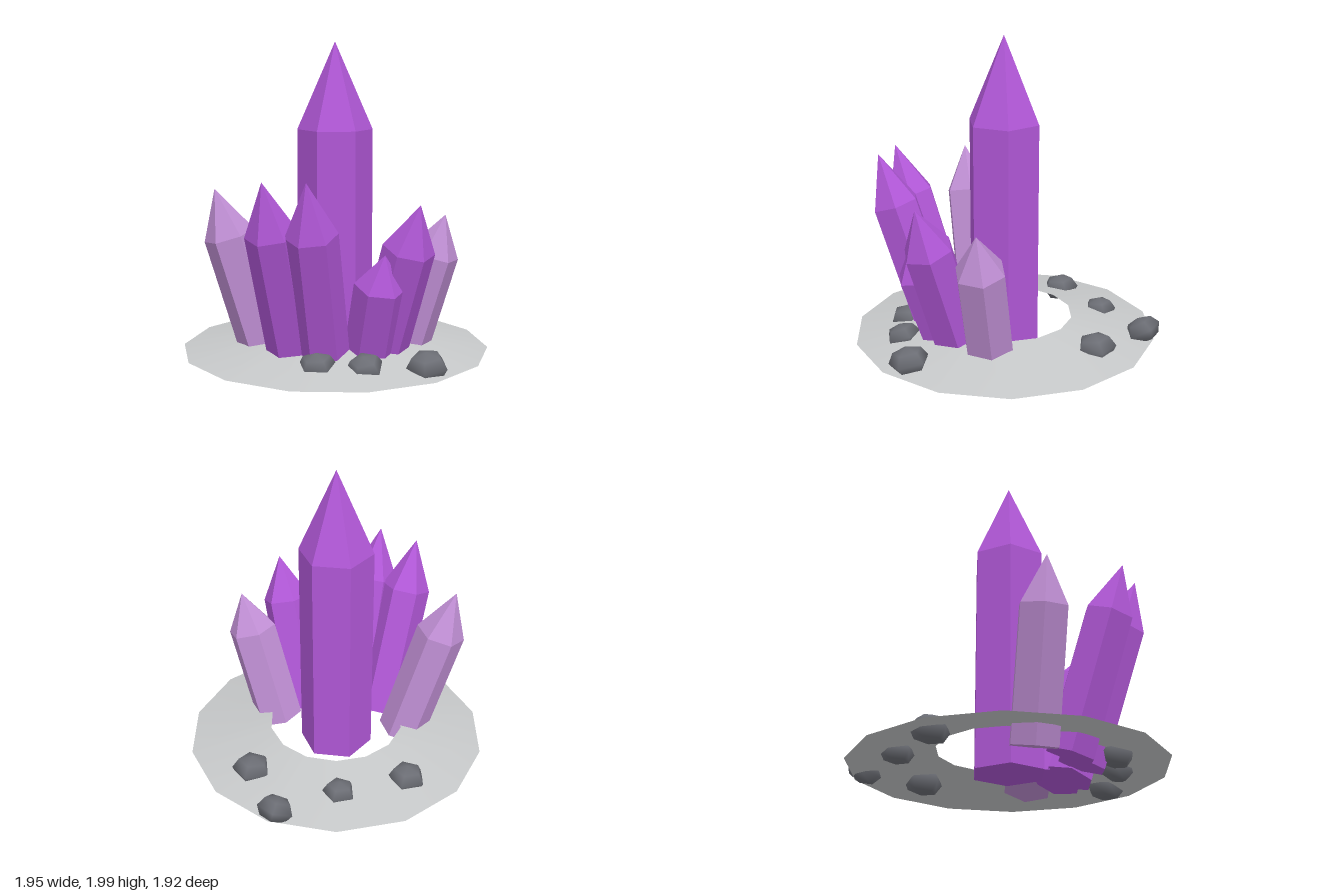
import * as THREE from 'three';

const purple = new THREE.MeshStandardMaterial({ name: 'purple crystal', color: 0xb057d6, flatShading: true });
const lilac = new THREE.MeshStandardMaterial({ name: 'lilac crystal', color: 0xc08fd4, flatShading: true });
const stoneGrey = new THREE.MeshStandardMaterial({ name: 'stone grey', color: 0x6c6e75 });
const paleGrey = new THREE.MeshStandardMaterial({ name: 'pale grey', color: 0xc6c8c9, side: THREE.DoubleSide });

const UP = new THREE.Vector3(0, 1, 0);

// Six-sided prism with a pointed tip, running from the centre of its base to its apex
function crystal(name, material, base, apex, radius) {
  const from = new THREE.Vector3(...base);
  const axis = new THREE.Vector3(...apex).sub(from);
  const length = axis.length();
  const profile = [[0, 0], [radius, 0], [radius, 0.726 * length], [0, length]];
  const geometry = new THREE.LatheGeometry(profile.map(p => new THREE.Vector2(...p)), 6);
  const mesh = new THREE.Mesh(geometry, material);
  mesh.name = name;
  mesh.position.copy(from);
  mesh.quaternion.setFromUnitVectors(UP, axis.normalize());
  return mesh;
}

// Flattened pebble with five sides and soft shading
function stone(x, z, radius, turn, tilt) {
  const mesh = new THREE.Mesh(new THREE.SphereGeometry(radius, 5, 4), stoneGrey);
  mesh.name = 'stone';
  mesh.position.set(x, 0.112, z);
  mesh.rotation.set(tilt, turn, 0);
  mesh.scale.y = 0.7;
  return mesh;
}

export function createModel() {
  const model = new THREE.Group();
  model.name = 'crystalCluster';

  // Ground ring, rising towards its open middle
  const ringProfile = [new THREE.Vector2(0.975, 0.062), new THREE.Vector2(0.44, 0.17)];
  const ring = new THREE.Mesh(new THREE.LatheGeometry(ringProfile, 14, Math.PI / 2), paleGrey);
  ring.name = 'groundRing';
  ring.position.z = 0.01;
  model.add(ring);

  // Crystals: the tall middle one and those leaning outwards
  model.add(
    crystal('mainCrystal', purple, [0, 0.02, 0.013], [0, 2, 0.013], 0.236),
    crystal('frontRightCrystal', purple, [-0.055, 0.06, 0.436], [-0.05, 1.21, 0.815], 0.158),
    crystal('frontLeftCrystal', purple, [0.145, 0.06, 0.42], [0.225, 1.22, 0.787], 0.157),
    crystal('leftCrystal', purple, [0.38, 0.06, 0.15], [0.705, 1.06, 0.28], 0.16),
    crystal('smallLeftCrystal', purple, [0.35, 0.06, 0.245], [0.537, 0.77, 0.405], 0.157),
    crystal('rightLilacCrystal', lilac, [-0.316, 0.05, 0.335], [-0.552, 1.11, 0.545], 0.158),
    crystal('leftLilacCrystal', lilac, [0.43, 0.06, -0.08], [0.7, 0.95, -0.112], 0.16),
  );

  // Stones scattered on the ring: x, z, radius, turn, tilt
  const stones = [
    [-0.22, -0.865, 0.12, 0.2, 0.5], [0.145, -0.67, 0.13, 1.3, 0.15], [-0.43, -0.5, 0.108, 0, 0.1],
    [-0.68, -0.125, 0.123, 0.05, 0.1], [0.77, 0.31, 0.13, 0.6, 0.2], [0.465, 0.515, 0.115, 0.3, 0.35],
    [0.2, 0.62, 0.12, 0.1, 0.15],
  ];
  for (const s of stones) model.add(stone(...s));

  return model;
}
